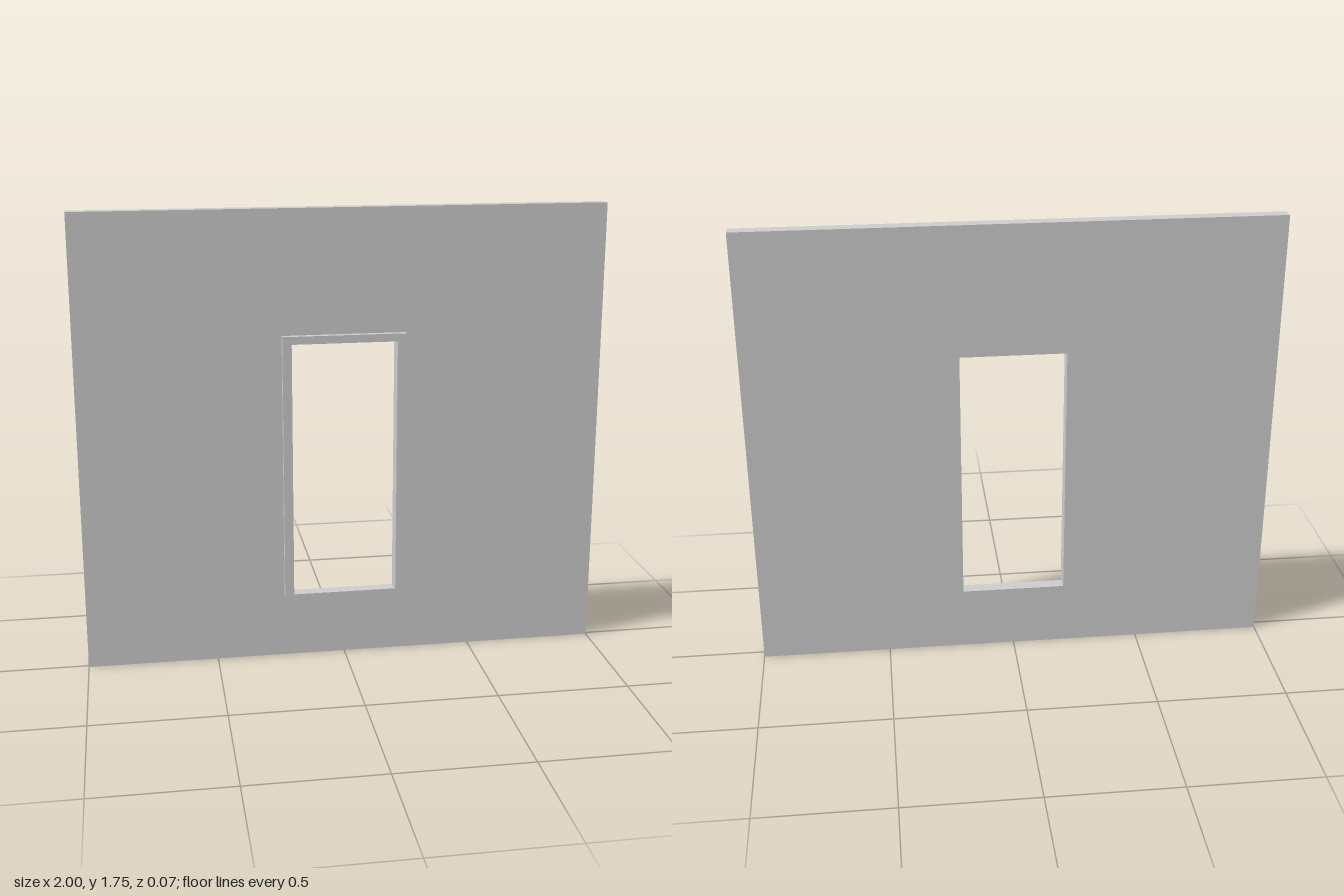
import * as THREE from 'three';

const material = new THREE.MeshStandardMaterial({ color: 0xcccccc, flatShading: true });

// Opening in the wall
const OPEN = { half: 0.2, bottom: 0.25, top: 1.25 };
// Depths: wall back, wall front, trim front
const Z = { back: -0.035, wall: 0.0125, trim: 0.035 };
const TRIM_HALF = 0.235, TRIM_TOP = 1.28;

const points = (list) => list.map(([x, y]) => new THREE.Vector2(x, y));

// Flat slab extruded between two depths
function slab(name, shape, z0, z1) {
  const geometry = new THREE.ExtrudeGeometry(shape, { depth: z1 - z0, bevelEnabled: false });
  geometry.translate(0, 0, z0);
  const mesh = new THREE.Mesh(geometry, material);
  mesh.name = name;
  return mesh;
}

export function createModel() {
  const group = new THREE.Group();
  group.name = 'wallWithOpening';
  const { half, bottom, top } = OPEN;

  // Wall panel with a rectangular opening
  const wall = new THREE.Shape(points([[-1, 0], [1, 0], [1, 1.75], [-1, 1.75]]));
  wall.holes.push(new THREE.Path(points([[-half, bottom], [-half, top], [half, top], [half, bottom]])));
  group.add(slab('wall', wall, Z.back, Z.wall));

  // Raised trim on the front: two jambs and a head, open at the sill
  const trim = new THREE.Shape(points([
    [-TRIM_HALF, bottom], [-half, bottom], [-half, top], [half, top],
    [half, bottom], [TRIM_HALF, bottom], [TRIM_HALF, TRIM_TOP], [-TRIM_HALF, TRIM_TOP],
  ]));
  group.add(slab('openingTrim', trim, Z.wall, Z.trim));

  return group;
}
